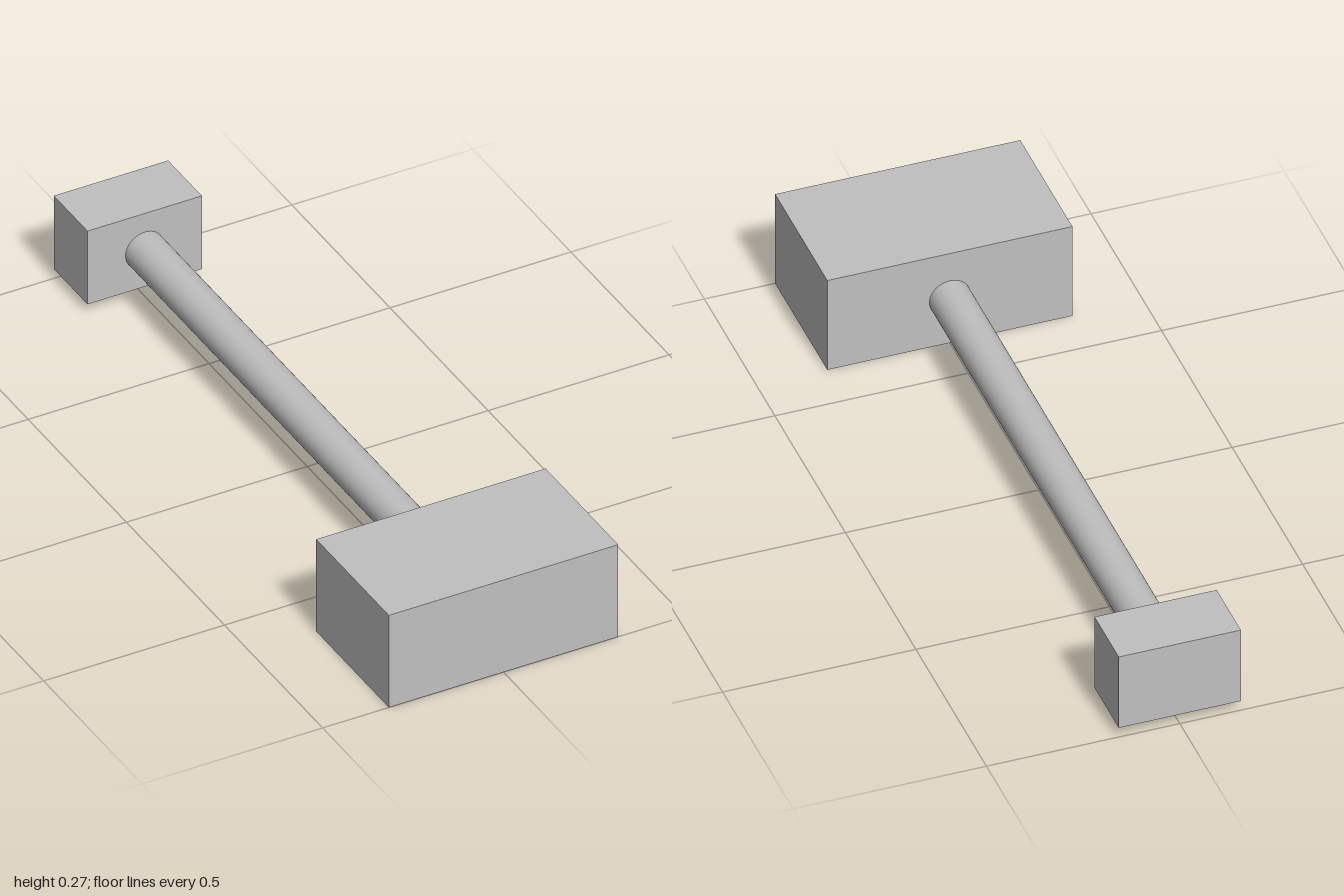
import * as THREE from 'three';

const AXIS_Y = 0.136; // height of the shared centre line

export function createModel() {
  const group = new THREE.Group();
  const grey = new THREE.MeshStandardMaterial({ color: 0xc0c0c0 });
  grey.name = 'grey';

  function add(name, geometry, z) {
    const mesh = new THREE.Mesh(geometry, grey);
    mesh.name = name;
    mesh.position.set(0, AXIS_Y, z);
    group.add(mesh);
  }

  // large block at the front, small block at the back
  add('frontBlock', new THREE.BoxGeometry(0.634, 0.272, 0.37), 0.815);
  add('rearBlock', new THREE.BoxGeometry(0.316, 0.216, 0.172), -0.914);

  // round rod joining the facing sides of the blocks
  const rod = new THREE.CylinderGeometry(0.053, 0.053, 1.458, 48, 1, true);
  rod.rotateX(Math.PI / 2);
  add('connectingRod', rod, -0.099);

  return group;
}
